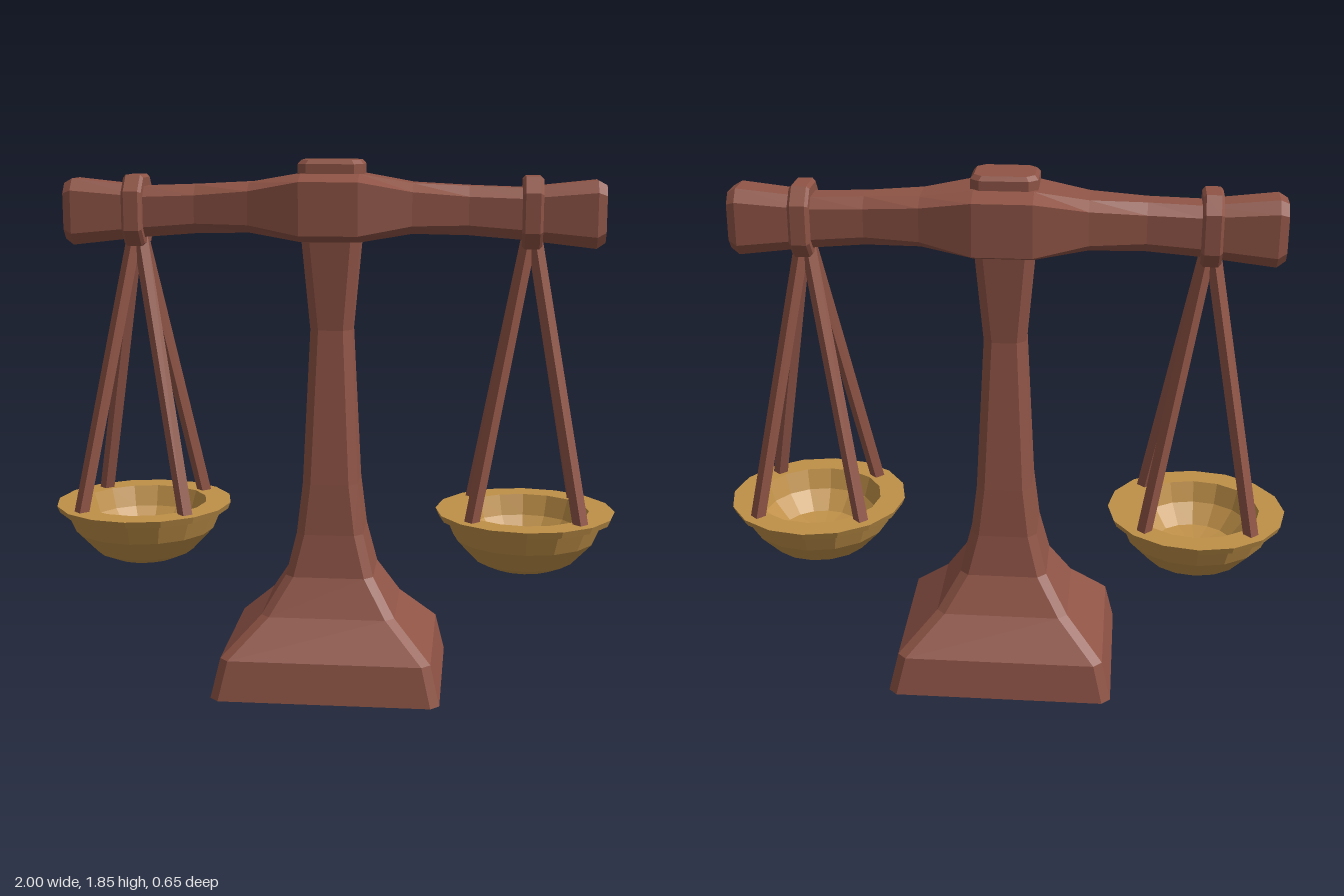
import * as THREE from 'three';

const wood = new THREE.MeshStandardMaterial({ color: 0x8f5446, flatShading: true });
wood.name = 'reddish wood';
const brass = new THREE.MeshStandardMaterial({ color: 0xbf9048, flatShading: true });
brass.name = 'brass';

// Skin chamfered-rectangle sections along an axis, closed at both ends.
// Section: [position, half a, half b, chamfer a, chamfer b, offset a].
// Along 'y': a is z and b is x. Along 'x': a is y and b is z.
function loft(sections, axis) {
  const pos = [], index = [];
  const put = (t, a, b) => (axis === 'y' ? pos.push(b, t, a) : pos.push(t, a, b));
  for (const [t, a, b, ca, cb = ca, o = 0] of sections) {
    const ring = [
      [a, -b + cb], [a, b - cb], [a - ca, b], [-a + ca, b],
      [-a, b - cb], [-a, -b + cb], [-a + ca, -b], [a - ca, -b],
    ];
    ring.forEach(([u, v]) => put(t, u + o, v));
  }
  const last = (sections.length - 1) * 8;
  for (let s = 0; s < last; s += 8) {
    for (let i = 0; i < 8; i++) {
      const j = (i + 1) % 8;
      index.push(s + i, s + j, s + 8 + j, s + i, s + 8 + j, s + 8 + i);
    }
  }
  for (let i = 1; i < 7; i++) {
    index.push(0, i + 1, i, last, last + i, last + i + 1);
  }
  const g = new THREE.BufferGeometry();
  g.setAttribute('position', new THREE.Float32BufferAttribute(pos, 3));
  g.setIndex(index);
  return faceted(g);
}

function faceted(geometry) {
  const g = geometry.toNonIndexed();
  g.computeVertexNormals();
  return g;
}

function part(name, geometry, material) {
  const mesh = new THREE.Mesh(geometry, material);
  mesh.name = name;
  return mesh;
}

// Square bar between two points
function bar(name, from, to, width) {
  const mesh = part(name, new THREE.BoxGeometry(width, width, from.distanceTo(to)), wood);
  mesh.position.copy(from).add(to).multiplyScalar(0.5);
  mesh.lookAt(to);
  return mesh;
}

function createPan(side) {
  const pan = new THREE.Group();
  pan.name = side > 0 ? 'leftPan' : 'rightPan';
  pan.position.x = side * 0.684;

  // Bowl: outside, flat rim, then inside
  const profile = [
    [0, 0.43], [0.12, 0.43], [0.175, 0.455], [0.25, 0.535], [0.28, 0.605],
    [0.305, 0.608], [0.315, 0.632], [0.225, 0.632], [0.2, 0.56], [0.14, 0.495], [0, 0.47],
  ].map(([r, y]) => new THREE.Vector2(r, y));
  pan.add(part('bowl', faceted(new THREE.LatheGeometry(profile, 16)), brass));

  // Four hangers spreading to the rim
  for (const sx of [-1, 1]) {
    for (const sz of [-1, 1]) {
      pan.add(bar('hanger',
        new THREE.Vector3(sx * 0.008, 1.6, sz * 0.008),
        new THREE.Vector3(sx * 0.187, 0.615, sz * 0.187), 0.037));
    }
  }

  // Band around the beam
  const band = [
    [-0.035, 0.112, 0.097, 0.05, 0.045, 1.677], [-0.025, 0.122, 0.107, 0.055, 0.05, 1.677],
    [0.025, 0.122, 0.107, 0.055, 0.05, 1.677], [0.035, 0.112, 0.097, 0.05, 0.045, 1.677],
  ];
  pan.add(part('band', loft(band, 'x'), wood));
  return pan;
}

export function createModel() {
  const model = new THREE.Group();
  model.name = 'balanceScale';

  // Post flaring into the foot
  const post = [
    [0, 0.325, 0.4, 0.03], [0.14, 0.303, 0.367, 0.03], [0.27, 0.2, 0.235, 0.03],
    [0.4, 0.138, 0.155, 0.03], [0.55, 0.117, 0.118, 0.03], [0.73, 0.107, 0.097, 0.03],
    [1.27, 0.07, 0.073, 0.03], [1.62, 0.096, 0.104, 0.03],
  ];
  model.add(part('post', loft(post, 'y'), wood));

  // Beam: half the sections, mirrored
  const half = [
    [0.1, 0.115, 0.163, 0.025, 0.07, 1.691], [0.28, 0.085, 0.11, 0.028, 0.045, 1.69],
    [0.47, 0.083, 0.077, 0.035, 0.035, 1.683], [0.65, 0.087, 0.075, 0.035, 0.03, 1.673],
    [0.9, 0.114, 0.088, 0.04, 0.035, 1.672], [0.93, 0.096, 0.072, 0.035, 0.03, 1.674],
  ];
  const mirrored = half.map(([x, ...rest]) => [-x, ...rest]).reverse();
  model.add(part('beam', loft([...mirrored, ...half], 'x'), wood));

  // Cap on top of the beam
  const cap = [
    [1.78, 0.092, 0.112, 0.03], [1.838, 0.092, 0.112, 0.03], [1.852, 0.08, 0.1, 0.027],
  ];
  model.add(part('cap', loft(cap, 'y'), wood));

  for (const side of [-1, 1]) model.add(createPan(side));
  return model;
}
